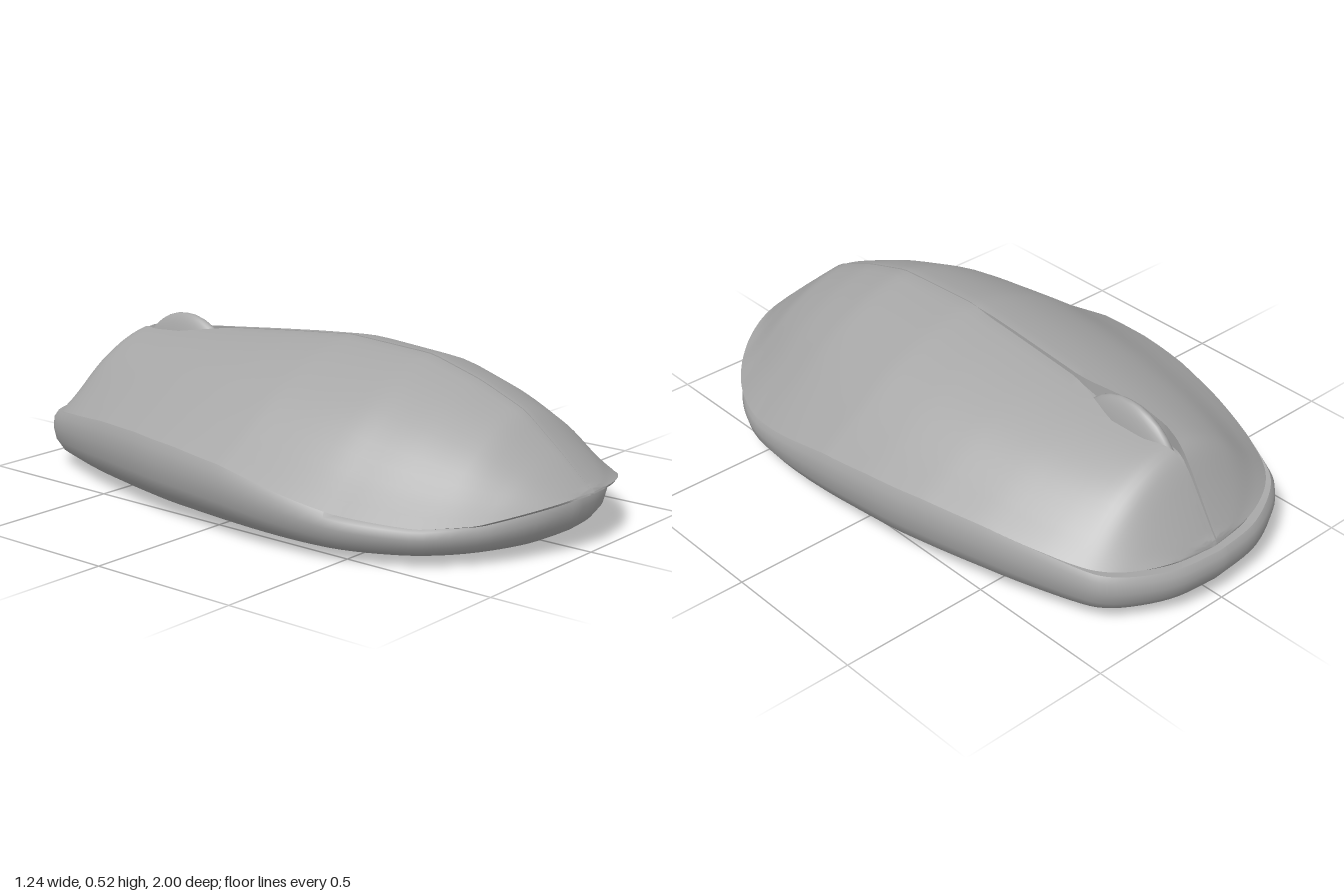
import * as THREE from 'three';
import { toCreasedNormals } from 'three/addons/utils/BufferGeometryUtils.js';

// Piecewise linear table lookup, x ascending
function lookup(table, x) {
  if (x <= table[0][0]) return table[0][1];
  for (let i = 1; i < table.length; i++) {
    const [x0, y0] = table[i - 1], [x1, y1] = table[i];
    if (x <= x1) return y0 + (y1 - y0) * (x - x0) / (x1 - x0);
  }
  return table[table.length - 1][1];
}

// Lookup averaged over a small window for soft curvature
function smooth(table, x, r) {
  let sum = 0;
  for (let k = -3; k <= 3; k++) sum += lookup(table, x + k * r / 3);
  return sum / 7;
}

// Skin equal-length rows of points
function loft(rows, crease) {
  const n = rows[0].length, index = [];
  for (let i = 0; i < rows.length - 1; i++) {
    for (let j = 0; j < n - 1; j++) {
      const a = i * n + j, b = a + n;
      index.push(a, b, a + 1, a + 1, b, b + 1);
    }
  }
  const geo = new THREE.BufferGeometry();
  geo.setAttribute('position', new THREE.Float32BufferAttribute(rows.flat(2), 3));
  geo.setIndex(index);
  return toCreasedNormals(geo, crease);
}

// Half outlines in plan, [x, z] from back to front
const baseOutline = [[0, -1], [0.15, -0.985], [0.27, -0.94], [0.36, -0.88], [0.41, -0.8], [0.48, -0.62],
  [0.545, -0.4], [0.59, -0.2], [0.612, 0], [0.62, 0.15], [0.61, 0.35], [0.575, 0.52], [0.5, 0.67],
  [0.4, 0.79], [0.27, 0.88], [0.14, 0.935], [0, 0.955]];
const shellOutline = [[0, -0.96], [0.14, -0.945], [0.25, -0.91], [0.34, -0.855], [0.4, -0.775], [0.465, -0.62],
  [0.53, -0.4], [0.575, -0.2], [0.6, 0], [0.607, 0.15], [0.6, 0.35], [0.56, 0.53], [0.48, 0.7],
  [0.37, 0.84], [0.25, 0.93], [0.13, 0.98], [0, 1]];

// Heights along z, and the cross-section from centre to edge
const seam = [[-1, 0.165], [-0.9, 0.18], [-0.7, 0.215], [-0.5, 0.24], [-0.3, 0.25], [-0.1, 0.246],
  [0.1, 0.23], [0.3, 0.19], [0.5, 0.15], [0.72, 0.125], [0.85, 0.135], [1, 0.18]];
const ridge = [[-0.96, 0.175], [-0.83, 0.39], [-0.8, 0.425], [-0.77, 0.438], [-0.4, 0.475], [-0.1, 0.505],
  [0.1, 0.522], [0.42, 0.505], [0.6, 0.452], [0.76, 0.385], [0.9, 0.27], [1, 0.18]];
const section = [[0, 1], [0.2, 0.92], [0.37, 0.8], [0.57, 0.6], [0.83, 0.21], [1, 0]];

// Half width and depth of the groove that opens around the wheel
const slotWidth = [[-0.96, 0.009], [-0.82, 0.011], [-0.79, 0.016], [-0.7, 0.05], [-0.58, 0.062],
  [-0.42, 0.014], [-0.38, 0.007], [0, 0.005], [0.08, 0]];
const slotDepth = [[-0.96, 0.01], [-0.8, 0.03], [-0.7, 0.07], [-0.5, 0.07], [-0.4, 0.03], [0, 0.02], [0.08, 0]];

function halfCurve(outline, count) {
  const pts = outline.map(([x, z]) => new THREE.Vector2(x, z));
  return new THREE.SplineCurve(pts).getPoints(count);
}

function shellGeometry() {
  const steps = 14;
  const rows = halfCurve(shellOutline, 96).map(({ x: w, y: z }) => {
    w = Math.max(w, 0);
    const low = lookup(seam, z);
    const atEnd = z < -0.955 || z > 0.995;
    const top = Math.max(low, atEnd ? lookup(ridge, z) : smooth(ridge, z, 0.02));
    const s = Math.min(lookup(slotWidth, z), 0.5 * w);
    const d = lookup(slotDepth, z);
    const half = [[s, top - d]];
    for (let i = 0; i <= steps; i++) {
      const x = s + (w - s) * i / steps;
      half.push([x, low + (top - low) * smooth(section, w > 0 ? x / w : 0, 0.08)]);
    }
    half[half.length - 1][1] = low;
    half.push([w * 0.94, low - 0.006]); // turned-in rim
    return [
      ...half.slice().reverse().map(([x, y]) => [-x, y, z]),
      [0, top - d, z],
      ...half.map(([x, y]) => [x, y, z]),
    ];
  });
  return loft(rows, 0.9);
}

function baseGeometry() {
  const right = halfCurve(baseOutline, 64);
  const left = right.slice(1, -1).reverse().map((p) => new THREE.Vector2(-p.x, p.y));
  const loop = [...right, ...left, right[0]];
  // Fraction of seam height and inset, from the hidden top down to the sole
  const levels = [[1, 0.5], [1, 0.07], [1, 0.016], [0.9, 0.004], [0.72, 0], [0.5, 0.008], [0.32, 0.03],
    [0.17, 0.075], [0.08, 0.13], [0.04, 0.2], [0.015, 0.32], [0, 0.6]];
  const rows = levels.map(([f, inset]) => loop.map(({ x, y: z }) => [
    x * (1 - inset / 0.62),
    lookup(seam, z) * f,
    -0.02 + (z + 0.02) * (1 - inset / 0.98),
  ]));
  // Close the sole
  rows.push(loop.map(() => [0, 0, 0]));
  return loft(rows.map((r) => r.slice().reverse()), 0.9);
}

export function createModel() {
  const group = new THREE.Group();
  const grey = new THREE.MeshStandardMaterial({ color: 0xa6a6a6, side: THREE.DoubleSide });
  grey.name = 'plain grey';

  const add = (name, geometry) => {
    const mesh = new THREE.Mesh(geometry, grey);
    mesh.name = name;
    group.add(mesh);
    return mesh;
  };

  add('base', baseGeometry());
  add('topShell', shellGeometry());

  // Lens-shaped scroll wheel sitting in the groove
  const wheel = add('scrollWheel', new THREE.SphereGeometry(1, 24, 16));
  wheel.scale.set(0.05, 0.21, 0.21);
  wheel.position.set(0, 0.285, -0.6);

  return group;
}
